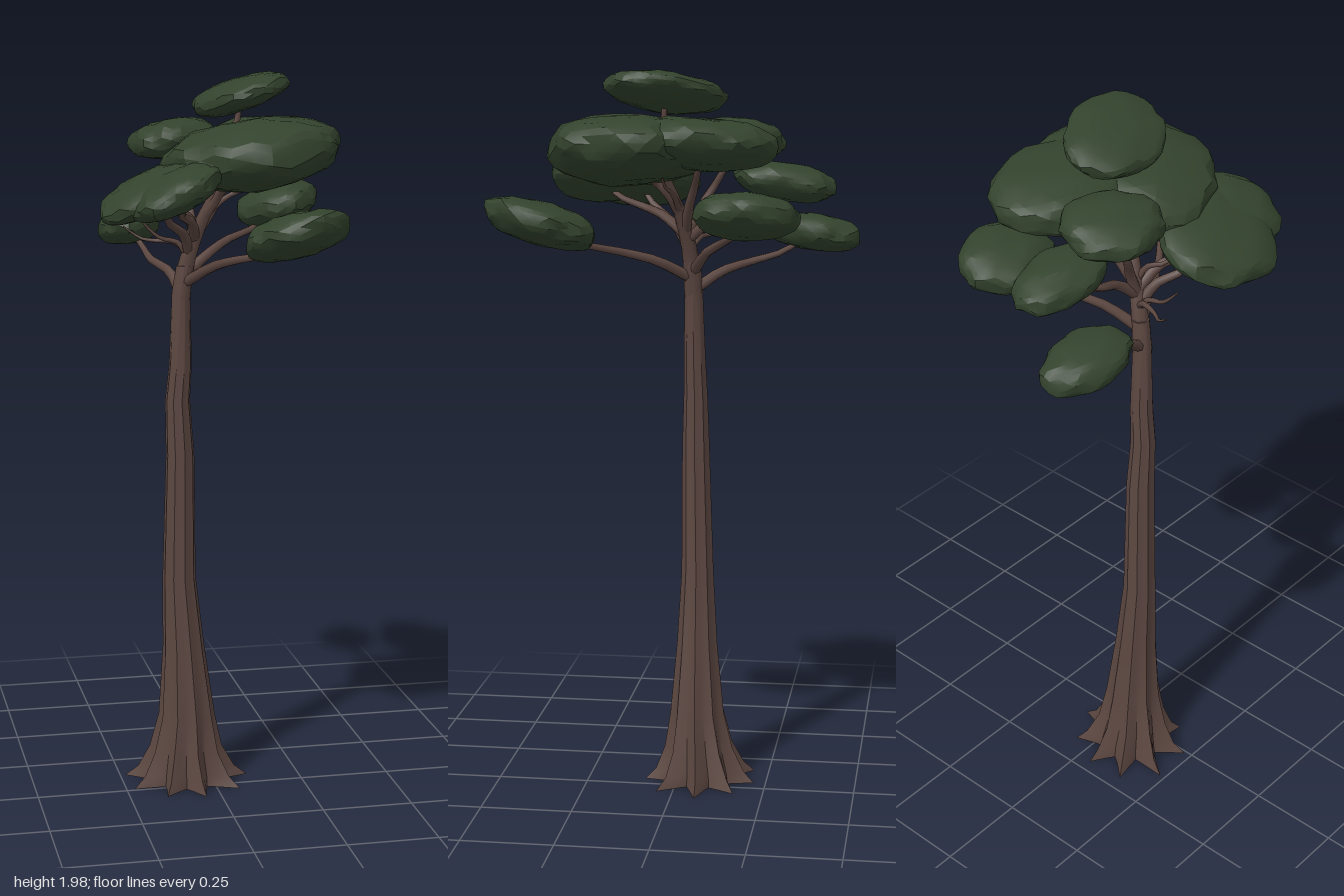
import * as THREE from 'three';
import { mergeVertices, toCreasedNormals } from 'three/addons/utils/BufferGeometryUtils.js';

const bark = new THREE.MeshStandardMaterial({ name: 'bark brown', color: 0x5b4640 });
const leaf = new THREE.MeshStandardMaterial({ name: 'leaf green', color: 0x33432d });

// Trunk rings from ground up: y, centre x, centre z, radius between roots, radius on roots
const TRUNK = [
  [0.005, -0.07, -0.065, 0.09, 0.165],
  [0.035, -0.07, -0.065, 0.088, 0.132],
  [0.1, -0.072, -0.06, 0.076, 0.1],
  [0.2, -0.07, -0.055, 0.066, 0.078],
  [0.4, -0.079, -0.053, 0.053, 0.058],
  [0.6, -0.091, -0.052, 0.042, 0.046],
  [0.95, -0.088, -0.047, 0.036, 0.039],
  [1.1, -0.095, -0.045, 0.031, 0.034],
  [1.2, -0.087, -0.043, 0.029, 0.031],
  [1.4, -0.085, -0.04, 0.024, 0.025],
  [1.47, -0.074, -0.036, 0.024, 0.025],
];

// Leaf pads: name, centre, half sizes, turn about y, slope along x and z, height where its limb forks
const PADS = [
  ['crownTop', [0.06, 1.925, 0.02], [0.118, 0.044, 0.163], 0.2, 0.28, 0.1, 1.7],
  ['crownMain', [0.08, 1.775, 0.11], [0.24, 0.09, 0.215], 0, 0.12, 0, 1.6],
  ['crownBack', [0.14, 1.795, -0.09], [0.16, 0.07, 0.195], 0, 0.1, 0.05, 1.55],
  ['crownBackRight', [-0.085, 1.8, -0.155], [0.12, 0.055, 0.13], 0, 0.1, 0.05, 1.53],
  ['rightPad', [-0.185, 1.685, 0.125], [0.145, 0.055, 0.165], 0, 0.4, 0, 1.5],
  ['rightFrontPad', [-0.15, 1.69, 0.23], [0.12, 0.055, 0.135], 0, 0.4, 0, 1.54],
  ['frontPad', [0.145, 1.585, 0.335], [0.13, 0.06, 0.145], -0.2, 0.2, 0.18, 1.42],
  ['leftBackPad', [0.22, 1.615, -0.215], [0.11, 0.06, 0.135], 0.15, 0.2, 0.05, 1.44],
  ['backRightPad', [-0.175, 1.545, -0.355], [0.083, 0.052, 0.128], -0.15, 0.1, 0.1, 1.39],
  ['backPad', [-0.033, 1.69, -0.29], [0.092, 0.05, 0.14], 0, 0.05, 0.12, 1.53],
];

// Bare twigs: fork height, tip
const TWIGS = [
  [1.49, [-0.2, 1.6, -0.035]],
  [1.5, [-0.23, 1.57, -0.115]],
  [1.6, [0.15, 1.73, 0.02]],
  [1.56, [-0.16, 1.69, 0.05]],
];

// Leaning line of the main limb above the trunk
function spineAt(y) {
  const s = (y - 1.38) / 0.4;
  return new THREE.Vector3(-0.085 + 0.145 * s ** 1.6, y, -0.04 + 0.1 * s ** 2);
}

function makeTrunk() {
  const last = TRUNK.length - 1;
  const geo = new THREE.CylinderGeometry(1, 1, 1, 36, last);
  const p = geo.attributes.position;
  for (let i = 0; i < p.count; i++) {
    const x = p.getX(i), z = p.getZ(i), a = Math.atan2(z, x);
    const [y, cx, cz, inner, outer] = TRUNK[Math.round((p.getY(i) + 0.5) * last)];
    // nine sharp root ridges, each a little different in length
    const ridge = 1 - Math.abs(Math.sin(4.5 * a));
    const r = inner + (outer - inner) * ridge * (1 + 0.15 * Math.sin(2 * a + 1));
    p.setXYZ(i, cx + x * r, y, cz + z * r);
  }
  geo.deleteAttribute('uv');
  geo.deleteAttribute('normal');
  return toCreasedNormals(mergeVertices(geo, 1e-5), 0.6);
}

// Tapering round limb along a list of points
function makeLimb(r0, r1, points) {
  const curve = new THREE.CatmullRomCurve3(points);
  const steps = 10, sides = 7;
  const geo = new THREE.TubeGeometry(curve, steps, 1, sides);
  const p = geo.attributes.position, v = new THREE.Vector3();
  for (let i = 0; i < p.count; i++) {
    const t = Math.floor(i / (sides + 1)) / steps;
    const c = curve.getPointAt(t);
    v.fromBufferAttribute(p, i).sub(c).multiplyScalar(r0 + (r1 - r0) * t).add(c);
    p.setXYZ(i, v.x, v.y, v.z);
  }
  return geo;
}

// Gently waving path from the main limb to a tip
function forkPath(forkY, tip) {
  const start = spineAt(forkY), end = new THREE.Vector3(...tip);
  return [0, 0.25, 0.5, 0.75, 1].map((t) => {
    const q = start.clone().lerp(end, t);
    q.y += 0.014 * Math.sin(2 * Math.PI * t);
    q.x += 0.008 * Math.sin(3 * Math.PI * t);
    return q;
  });
}

// Flattened, lumpy, sloping ball of leaves
function makePad([rx, ry, rz], slopeX, slopeZ, seed) {
  let geo = new THREE.IcosahedronGeometry(1, 4);
  geo.deleteAttribute('uv');
  geo.deleteAttribute('normal');
  geo = mergeVertices(geo, 1e-4);
  const p = geo.attributes.position, v = new THREE.Vector3();
  for (let i = 0; i < p.count; i++) {
    v.fromBufferAttribute(p, i);
    const lump = 1
      + 0.05 * Math.sin(3.1 * v.x + seed * 2.3) * Math.cos(2.7 * v.z + seed)
      + 0.045 * Math.sin(6.3 * v.x + 4 * v.y + seed) * Math.sin(5.7 * v.z + seed * 1.7)
      + 0.025 * Math.sin(13 * v.x + 7 * v.y + seed) * Math.cos(12 * v.z - 9 * v.y);
    // squared-off profile keeps the top and bottom broad
    const y = Math.sign(v.y) * Math.abs(v.y) ** 0.85;
    const x = v.x * lump * rx, z = v.z * lump * rz;
    p.setXYZ(i, x, y * lump * ry + slopeX * x + slopeZ * z, z);
  }
  return toCreasedNormals(geo, 0.35);
}

export function createModel() {
  const model = new THREE.Group();
  model.name = 'tree';
  const branches = new THREE.Group();
  branches.name = 'branches';
  const foliage = new THREE.Group();
  foliage.name = 'foliage';
  model.add(branches, foliage);

  const add = (parent, name, geo, material) => {
    const mesh = new THREE.Mesh(geo, material);
    mesh.name = name;
    parent.add(mesh);
    return mesh;
  };

  add(model, 'trunk', makeTrunk(), bark);
  add(branches, 'mainLimb', makeLimb(0.027, 0.01, [1.38, 1.47, 1.56, 1.65, 1.75].map(spineAt)), bark);

  PADS.forEach(([name, centre, size, turn, slopeX, slopeZ, forkY], i) => {
    const pad = add(foliage, name, makePad(size, slopeX, slopeZ, i + 1), leaf);
    pad.position.set(...centre);
    pad.rotation.y = turn;
    add(branches, `${name}Limb`, makeLimb(0.016, 0.006, forkPath(forkY, centre)), bark);
  });
  TWIGS.forEach(([forkY, tip], i) => {
    add(branches, `twig${i + 1}`, makeLimb(0.01, 0.002, forkPath(forkY, tip)), bark);
  });
  return model;
}
